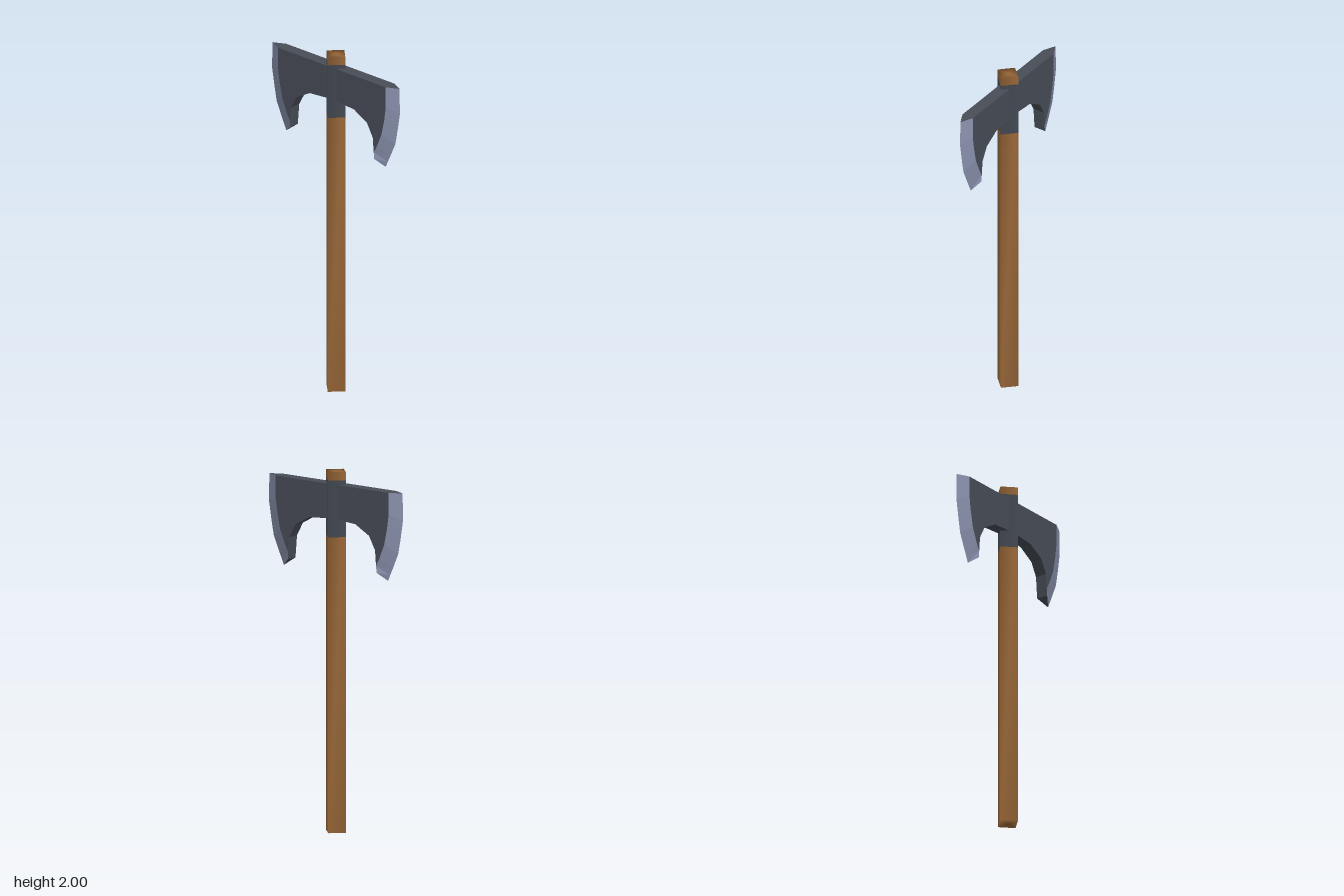
import * as THREE from 'three';
import { mergeVertices } from 'three/addons/utils/BufferGeometryUtils.js';

const T = 0.034; // half thickness of the blades
const R = 0.068; // handle radius

// Blade profile as [z, y]: bevel line, cutting edge, and the curved underside
const inner = [[0.39, 1.93], [0.39, 1.81], [0.38, 1.735], [0.36, 1.64], [0.325, 1.555], [0.303, 1.515], [0.307, 1.476]];
const outer = [[0.46, 1.93], [0.463, 1.78], [0.447, 1.68], [0.43, 1.59], [0.395, 1.51], [0.375, 1.467], [0.36, 1.433]];
const under = [[0.296, 1.6], [0.255, 1.675], [0.16, 1.728], [0.03, 1.738]];

function facets(quads) {
  const pos = [];
  for (const p of quads) {
    for (let i = 1; i < p.length - 1; i++) pos.push(...p[0], ...p[i], ...p[i + 1]);
  }
  const geo = new THREE.BufferGeometry();
  geo.setAttribute('position', new THREE.Float32BufferAttribute(pos, 3));
  geo.computeVertexNormals();
  return geo;
}

const at = (x, [z, y]) => [x, y, z];

function createBlade(name, steel, edgeSteel) {
  const blade = new THREE.Group();
  blade.name = name;
  const add = (partName, geo, mat) => {
    const mesh = new THREE.Mesh(geo, mat);
    mesh.name = partName;
    blade.add(mesh);
  };

  // Flat cheek with the hooked beard
  const outline = [[0.03, 1.93], ...inner.slice(0, -1), ...under];
  const shape = new THREE.Shape(outline.map(([z, y]) => new THREE.Vector2(z, y)));
  const cheek = new THREE.ExtrudeGeometry(shape, { depth: 2 * T, bevelEnabled: false });
  cheek.translate(0, 0, -T).rotateY(-Math.PI / 2);
  add('bladeCheek', cheek, steel);

  // Sharpened bevels on both sides, meeting at x = 0
  const bevels = [];
  for (let i = 0; i < inner.length - 1; i++) {
    for (const s of [1, -1]) {
      const quad = [at(s * T, inner[i]), at(0, outer[i]), at(0, outer[i + 1]), at(s * T, inner[i + 1])];
      bevels.push(s > 0 ? quad : quad.reverse());
    }
  }
  add('cuttingEdge', facets(bevels), edgeSteel);

  // Top, tip and back ends of the bevel
  const n = inner.length - 1;
  add('edgeEnds', facets([
    [at(T, inner[0]), at(-T, inner[0]), at(0, outer[0])],
    [at(-T, inner[n]), at(T, inner[n]), at(0, outer[n])],
    [at(T, inner[n - 1]), at(T, inner[n]), at(-T, inner[n]), at(-T, inner[n - 1])],
  ]), steel);
  return blade;
}

export function createModel() {
  const material = (name, color) => {
    const m = new THREE.MeshStandardMaterial({ color });
    m.name = name;
    return m;
  };
  const wood = material('wood', 0x9c6a3a);
  const steel = material('darkSteel', 0x484d57);
  const edgeSteel = material('edgeSteel', 0x8c94b0);

  const axe = new THREE.Group();
  axe.name = 'doubleAxe';

  // Four-sided handle, softly shaded across its corners
  let shaft = new THREE.CylinderGeometry(R, R, 2, 4);
  shaft.deleteAttribute('normal');
  shaft.deleteAttribute('uv');
  shaft = mergeVertices(shaft);
  shaft.computeVertexNormals();
  const handle = new THREE.Mesh(shaft, wood);
  handle.name = 'handle';
  handle.position.y = 1;
  axe.add(handle);

  // Steel sleeve wrapped round the handle
  const collar = new THREE.Mesh(new THREE.CylinderGeometry(R + 0.001, R + 0.001, 0.315, 4, 1, true), steel);
  collar.name = 'collar';
  collar.position.y = 1.7975;
  axe.add(collar);

  // Matching blades front and back
  const front = createBlade('frontBlade', steel, edgeSteel);
  const back = createBlade('backBlade', steel, edgeSteel);
  back.rotation.y = Math.PI;
  axe.add(front, back);
  return axe;
}
